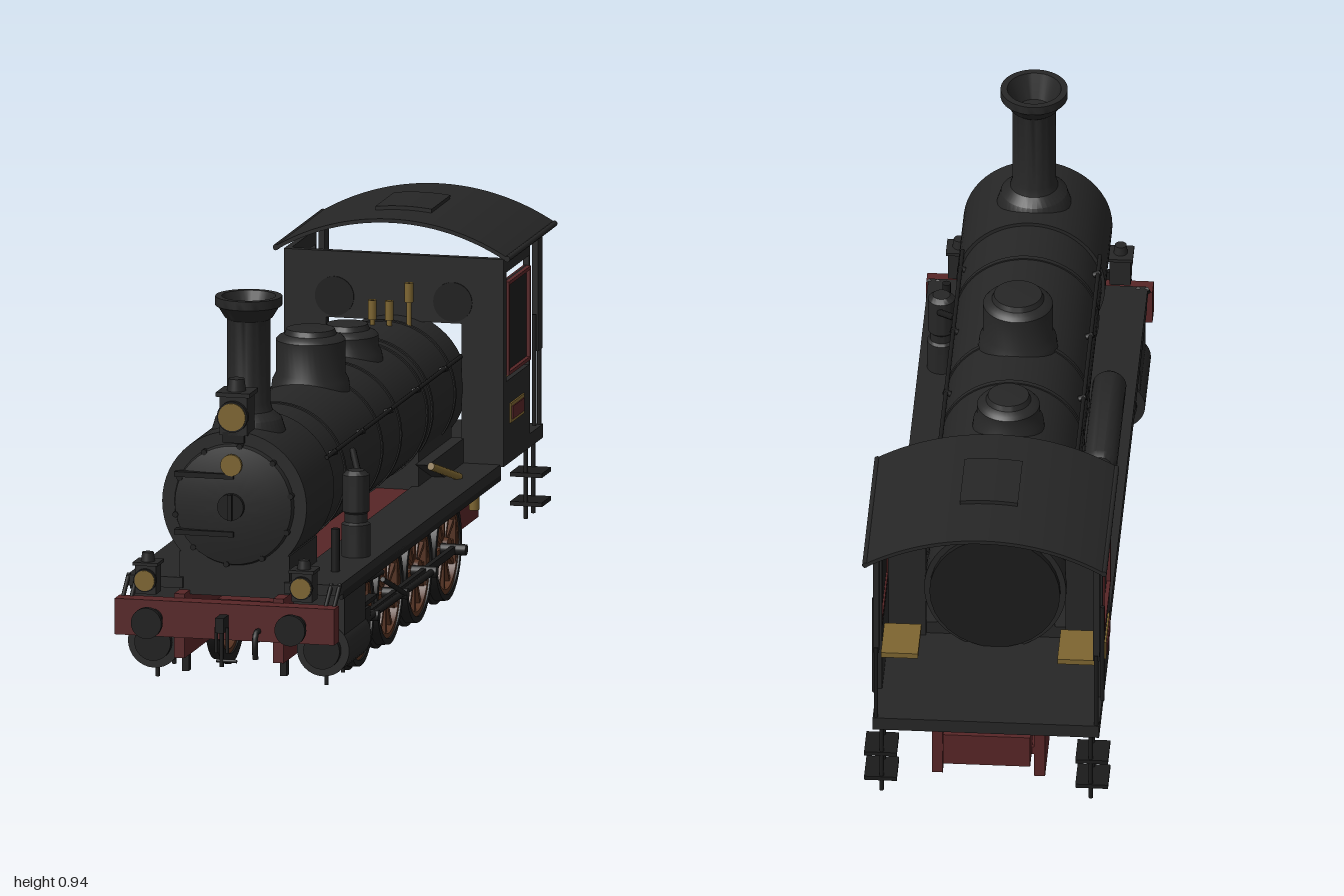
import * as THREE from 'three';
import { toCreasedNormals } from 'three/addons/utils/BufferGeometryUtils.js';

const mat = (name, color, side = THREE.FrontSide) => {
  const m = new THREE.MeshStandardMaterial({ color, side });
  m.name = name;
  return m;
};

export function createModel() {
  const black = mat('black paint', 0x262626), dark = mat('dark iron', 0x1b1b1b);
  const red = mat('frame red', 0x572526), brass = mat('brass', 0x7d6530), brown = mat('wheel brown', 0x53301f);
  const root = new THREE.Group();
  root.name = 'steamLocomotive';
  const V = (x, y, z) => new THREE.Vector3(x, y, z);

  const add = (name, geo, m, x = 0, y = 0, z = 0, parent = root) => {
    const mesh = new THREE.Mesh(geo, m);
    mesh.name = name;
    mesh.position.set(x, y, z);
    parent.add(mesh);
    return mesh;
  };
  // box given by its limits on each axis
  const box = (name, m, x0, x1, y0, y1, z0, z1, parent) =>
    add(name, new THREE.BoxGeometry(Math.abs(x1 - x0), y1 - y0, z1 - z0), m, (x0 + x1) / 2, (y0 + y1) / 2, (z0 + z1) / 2, parent);
  // cylinder along an axis; r1 is the radius at the positive end
  const cyl = (name, m, axis, r0, r1, len, x, y, z, parent, seg = 32) => {
    const g = new THREE.CylinderGeometry(r1, r0, len, seg);
    if (axis === 'z') g.rotateX(Math.PI / 2);
    if (axis === 'x') g.rotateZ(-Math.PI / 2);
    return add(name, g, m, x, y, z, parent);
  };
  const rod = (name, m, a, b, r) => {
    const d = b.clone().sub(a);
    const mesh = add(name, new THREE.CylinderGeometry(r, r, d.length(), 10), m);
    mesh.position.copy(a).addScaledVector(d, 0.5);
    mesh.quaternion.setFromUnitVectors(V(0, 1, 0), d.normalize());
    return mesh;
  };
  const turned = (pts, seg = 40) =>
    toCreasedNormals(new THREE.LatheGeometry(pts.map(p => new THREE.Vector2(...p)), seg), 0.6);
  const both = fn => [1, -1].forEach(fn);

  // Boiler, smokebox and bands
  const by = 0.475;
  cyl('boiler', black, 'z', 0.163, 0.163, 1.23, 0, by, -0.015, root, 56);
  cyl('smokebox', black, 'z', 0.171, 0.171, 0.25, 0, by, 0.725, root, 56);
  [0.47, 0.14, -0.03, -0.27, -0.315, -0.52].forEach(z => cyl('boilerBand', black, 'z', 0.166, 0.166, 0.012, 0, by, z, root, 56));
  add('smokeboxDoor', turned([[0.142, 0], [0.138, 0.012], [0.1, 0.02], [0.05, 0.025], [0, 0.026]]).rotateX(Math.PI / 2), black, 0, by, 0.85);
  for (let i = 0; i < 10; i++) {
    const a = i / 10 * Math.PI * 2 + 0.2;
    cyl('doorClamp', dark, 'z', 0.007, 0.007, 0.015, 0.139 * Math.cos(a), by + 0.139 * Math.sin(a), 0.858, root, 8);
  }
  [0.545, 0.41].forEach(y => box('doorHinge', dark, -0.135, 0.005, y - 0.006, y + 0.006, 0.86, 0.881));
  cyl('doorWheel', dark, 'z', 0.031, 0.031, 0.012, 0, by, 0.882);
  box('doorHandle', dark, -0.005, 0.005, by - 0.03, by + 0.03, 0.885, 0.897);
  cyl('doorBadge', brass, 'z', 0.025, 0.025, 0.009, 0, 0.572, 0.878);

  // Chimney and domes
  add('chimney', turned([[0.085, 0.625], [0.076, 0.655], [0.055, 0.672], [0.05, 0.69], [0.05, 0.885], [0.056, 0.89],
    [0.07, 0.913], [0.077, 0.917], [0.077, 0.938], [0.062, 0.938], [0.04, 0.88], [0, 0.88]]), black, 0, 0, 0.72);
  const dome = (name, z, r, top) => add(name, turned([[r + 0.012, 0.605], [r + 0.008, 0.635], [r, 0.65], [r, top - 0.025],
    [r - 0.006, top - 0.018], [r - 0.02, top - 0.012], [r - 0.025, top], [0, top + 0.003]]), black, 0, 0, z);
  dome('steamDome', 0.16, 0.08, 0.753);
  dome('sandDome', -0.17, 0.072, 0.7);
  [[-0.02, -0.475, 0.695], [0.02, -0.475, 0.695], [0.055, -0.52, 0.73]].forEach(([x, z, top]) => {
    cyl('whistlePipe', brass, 'y', 0.006, 0.006, top - 0.61, x, (top + 0.61) / 2, z, root, 12);
    cyl('whistleBell', brass, 'y', 0.01, 0.01, 0.045, x, top - 0.023, z, root, 16);
  });

  // Lamps: one over the door, two on the beam
  const lamp = (name, x, y, z, s) => {
    const g = new THREE.Group();
    g.name = name;
    g.position.set(x, y, z);
    g.scale.setScalar(s);
    root.add(g);
    box('lampBody', black, -0.033, 0.033, -0.045, 0.045, -0.035, 0.03, g);
    box('lampCap', black, -0.04, 0.04, 0.045, 0.055, -0.042, 0.037, g);
    cyl('lampChimney', black, 'y', 0.022, 0.018, 0.03, 0, 0.068, 0, g);
    cyl('lampRim', dark, 'z', 0.036, 0.036, 0.016, 0, 0, 0.034, g);
    cyl('lampLens', brass, 'z', 0.032, 0.032, 0.008, 0, 0, 0.041, g);
  };
  lamp('topLamp', 0, 0.683, 0.83, 1);
  box('topLampBracket', dark, -0.025, 0.025, 0.62, 0.645, 0.79, 0.86);
  both(s => lamp('beamLamp', s * 0.185, 0.308, 0.925, 0.74));

  // Frame, deck and buffer beam
  both(s => {
    box('framePlate', red, s * 0.105, s * 0.13, 0.12, 0.27, -0.86, 0.9);
    box('runningBoard', black, s * 0.12, s * 0.252, 0.275, 0.3, -0.6, 0.86);
    box('boardValance', dark, s * 0.244, s * 0.252, 0.262, 0.28, -0.6, 0.83);
    box('guardIron', dark, s * 0.108, s * 0.124, 0.08, 0.125, 0.83, 0.85);
    [0.23, 0.25].forEach(x => rod('beamStay', dark, V(s * x, 0.25, 0.91), V(s * x, 0.3, 0.85), 0.005));
  });
  box('frameFloor', red, -0.11, 0.11, 0.18, 0.2, -0.86, 0.6);
  box('frameDeck', red, -0.125, 0.125, 0.25, 0.292, -0.6, 0.6);
  box('rearDrawBox', red, -0.1, 0.1, 0.19, 0.27, -0.925, -0.85);
  box('bufferBeam', red, -0.26, 0.26, 0.176, 0.26, 0.895, 0.94);
  box('smokeboxSaddle', black, -0.13, 0.13, 0.26, 0.36, 0.6, 0.85);
  box('firebox', black, -0.135, 0.135, 0.27, 0.46, -0.6, -0.3);
  both(s => {
    cyl('bufferShaft', dark, 'z', 0.024, 0.017, 0.05, s * 0.17, 0.217, 0.962);
    cyl('bufferDisc', dark, 'z', 0.036, 0.036, 0.014, s * 0.17, 0.217, 0.993);
  });
  // Coupling and brake hose
  box('couplingHook', dark, -0.01, 0.01, 0.2, 0.235, 0.94, 0.985);
  both(s => rod('couplingLink', dark, V(s * 0.013, 0.21, 0.965), V(s * 0.013, 0.15, 0.965), 0.004));
  rod('couplingScrew', dark, V(0, 0.2, 0.965), V(0, 0.118, 0.965), 0.005);
  rod('couplingBar', dark, V(-0.012, 0.132, 0.965), V(0.036, 0.132, 0.965), 0.004);
  add('brakeHose', new THREE.TubeGeometry(new THREE.CatmullRomCurve3(
    [V(0.08, 0.2, 0.93), V(0.08, 0.198, 0.962), V(0.08, 0.17, 0.97), V(0.08, 0.14, 0.965)]), 14, 0.007, 8), dark);

  // Wheels, axles and rods
  const wheelZ = [0.35, 0.088, -0.175, -0.44], wy = 0.13;
  const tyre = turned([[0.13, -0.017], [0.13, -0.009], [0.122, -0.005], [0.12, 0.017], [0.106, 0.017], [0.106, -0.017], [0.13, -0.017]], 48);
  const rim = turned([[0.107, -0.013], [0.107, 0.013], [0.095, 0.013], [0.095, -0.013], [0.107, -0.013]], 48);
  const spoke = new THREE.BoxGeometry(0.011, 0.014, 0.08).translate(0, 0, 0.06);
  const weight = new THREE.ExtrudeGeometry(new THREE.Shape().absarc(0, 0, 0.098, 0.95, Math.PI - 0.95), { depth: 0.024, bevelEnabled: false, curveSegments: 16 })
    .translate(0, 0, -0.012).rotateX(-Math.PI / 2);
  wheelZ.forEach(z => {
    cyl('axle', dark, 'x', 0.016, 0.016, 0.3, 0, wy, z);
    both(s => {
      const g = new THREE.Group();
      g.name = 'drivingWheel';
      g.position.set(s * 0.153, wy, z);
      g.rotation.z = -s * Math.PI / 2;
      root.add(g);
      add('tyre', tyre, dark, 0, 0, 0, g);
      add('wheelRim', rim, brown, 0, 0, 0, g);
      add('counterweight', weight, brown, 0, 0, 0, g);
      cyl('hub', brown, 'y', 0.028, 0.025, 0.036, 0, 0, 0, g, 24);
      for (let i = 0; i < 12; i++) add('spoke', spoke, brown, 0, 0, 0, g).rotation.y = i * Math.PI / 6;
      cyl('crankPin', dark, 'x', 0.013, 0.013, 0.06, s * 0.19, 0.135, z + 0.03, root, 16);
    });
  });
  both(s => {
    box('couplingRod', dark, s * 0.184, s * 0.196, 0.126, 0.144, -0.43, 0.4);
    rod('connectingRod', dark, V(s * 0.208, 0.14, 0.47), V(s * 0.208, 0.135, -0.145), 0.008);
    box('crosshead', dark, s * 0.185, s * 0.215, 0.115, 0.17, 0.44, 0.5);
    rod('pistonRod', dark, V(s * 0.2, 0.14, 0.62), V(s * 0.2, 0.14, 0.46), 0.009);
    box('slideBar', dark, s * 0.19, s * 0.21, 0.172, 0.182, 0.36, 0.62);
    rod('valveRod', dark, V(s * 0.18, 0.225, 0.62), V(s * 0.18, 0.2, 0.2), 0.006);
    rod('eccentricRod', dark, V(s * 0.215, 0.21, 0.33), V(s * 0.215, 0.135, 0.12), 0.006);
    // Cylinders with valve chest
    cyl('steamCylinder', black, 'z', 0.062, 0.062, 0.2, s * 0.2, 0.138, 0.712);
    cyl('cylinderCover', dark, 'z', 0.043, 0.043, 0.225, s * 0.2, 0.138, 0.715);
    box('valveChest', black, s * 0.13, s * 0.25, 0.15, 0.275, 0.62, 0.81);
    [0.63, 0.78].forEach(z => cyl('drainCock', dark, 'y', 0.005, 0.005, 0.035, s * 0.2, 0.068, z, root, 8));
    cyl('injector', brass, 'y', 0.012, 0.012, 0.07, s * 0.2, 0.235, -0.555, root, 16);
    // Boiler handrail
    rod('boilerRail', dark, V(s * 0.158, 0.548, 0.62), V(s * 0.158, 0.548, -0.6), 0.005);
    [0.55, 0.3, 0.05, -0.2, -0.45].forEach(z => rod('railKnob', dark, V(s * 0.14, 0.54, z), V(s * 0.164, 0.549, z), 0.007));
    // Sloped casing beside the firebox with a brass pipe
    const wedge = new THREE.Shape([[-0.6, 0.3], [-0.42, 0.3], [-0.27, 0.357], [-0.6, 0.357]].map(p => new THREE.Vector2(...p)));
    add('fireboxCasing', new THREE.ExtrudeGeometry(wedge, { depth: 0.03, bevelEnabled: false }).rotateY(-Math.PI / 2), black, s > 0 ? 0.165 : -0.135);
    rod('feedPipe', brass, V(s * 0.172, 0.355, -0.27), V(s * 0.2, 0.303, -0.42), 0.009);
  });

  // Air pump on the left, air tank on the right
  add('airPump', turned([[0, 0.3], [0.033, 0.3], [0.033, 0.375], [0.026, 0.38], [0.026, 0.4], [0.031, 0.405], [0.031, 0.49], [0.02, 0.5], [0, 0.5]], 28), black, 0.199, 0, 0.51);
  rod('pumpPipe', dark, V(0.2, 0.47, 0.48), V(0.16, 0.52, 0.39), 0.008);
  rod('lubricator', dark, V(0.2, 0.3, 0.7), V(0.2, 0.4, 0.7), 0.01);
  add('airTank', turned([[0, -0.18], [0.03, -0.175], [0.039, -0.16], [0.039, 0.16], [0.03, 0.175], [0, 0.18]], 28).rotateX(Math.PI / 2), black, -0.195, 0.352, 0.225);

  // Cab: floor, front wall, sides
  box('cabFloor', black, -0.26, 0.26, 0.295, 0.327, -0.95, -0.595);
  box('cabFrontTop', black, -0.26, 0.26, 0.625, 0.78, -0.61, -0.592);
  cyl('boilerBackhead', dark, 'z', 0.15, 0.15, 0.02, 0, by, -0.635);
  both(s => {
    box('cabFrontSide', black, s * 0.16, s * 0.26, 0.295, 0.625, -0.61, -0.592);
    cyl('frontWindow', dark, 'z', 0.046, 0.046, 0.024, s * 0.14, 0.675, -0.601);
    const side = (name, m, y0, y1, z0, z1, x0 = 0.246, x1 = 0.26) => box(name, m, s * x0, s * x1, y0, y1, z0, z1);
    side('cabSideLower', black, 0.295, 0.49, -0.832, -0.6);
    side('cabSideTop', black, 0.745, 0.78, -0.832, -0.6);
    side('cabFrontPost', black, 0.49, 0.745, -0.62, -0.6);
    side('cabRearPost', black, 0.49, 0.745, -0.832, -0.822);
    side('windowPane', dark, 0.505, 0.722, -0.822, -0.62, 0.25, 0.256);
    [[0.503, 0.511], [0.714, 0.722]].forEach(([a, b]) => side('windowFrame', red, a, b, -0.822, -0.622, 0.246, 0.265));
    [-0.822, -0.63].forEach(z => side('windowFrame', red, 0.511, 0.714, z, z + 0.008, 0.246, 0.265));
    side('numberPlateEdge', brass, 0.388, 0.434, -0.767, -0.645, 0.26, 0.264);
    side('numberPlate', red, 0.396, 0.426, -0.757, -0.655, 0.264, 0.267);
    box('cabSeat', brass, s * 0.16, s * 0.245, 0.455, 0.468, -0.89, -0.77);
    // Rear posts and grab rails
    side('rearPost', black, 0.505, 0.795, -0.945, -0.905);
    rod('rearRail', dark, V(s * 0.253, 0.32, -0.943), V(s * 0.253, 0.52, -0.943), 0.005);
    rod('doorRail', dark, V(s * 0.262, 0.34, -0.862), V(s * 0.262, 0.6, -0.862), 0.005);
    // Hanging steps
    [-0.87, -0.938].forEach(z => rod('stepHanger', dark, V(s * 0.24, 0.12, z), V(s * 0.24, 0.3, z), 0.005));
    [0.155, 0.223].forEach(y => box('stepTread', dark, s * 0.205, s * 0.28, y - 0.005, y + 0.005, -0.945, -0.862));
    cyl('roofGutter', black, 'z', 0.007, 0.007, 0.43, s * 0.274, 0.786, -0.785, root, 10);
  });

  // Curved roof with hatch
  const arc = (a, r0, r1, depth) => new THREE.ExtrudeGeometry(new THREE.Shape()
    .absarc(0, 0, r1, Math.PI / 2 - a, Math.PI / 2 + a, false)
    .absarc(0, 0, r0, Math.PI / 2 + a, Math.PI / 2 - a, true), { depth, bevelEnabled: false, curveSegments: 28 });
  add('cabRoof', toCreasedNormals(arc(0.556, 0.522, 0.531, 0.43), 0.5), black, 0, 0.335, -1);
  add('roofHatch', toCreasedNormals(arc(0.124, 0.528, 0.54, 0.17), 0.5), black, 0, 0.335, -0.85);
  return root;
}
